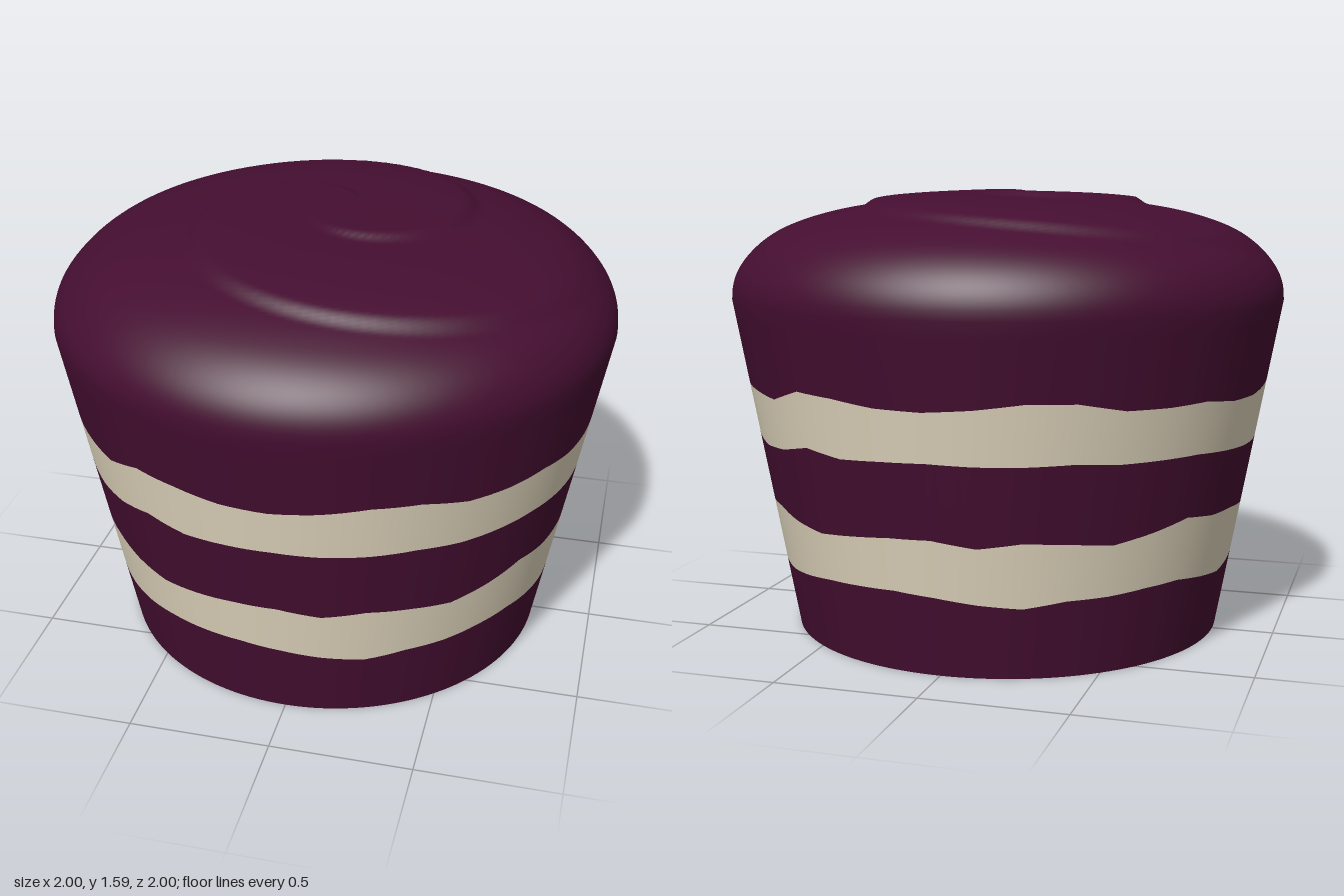
import * as THREE from 'three';

const SEGMENTS = 144;
const SHOULDER = 1.2; // height where the tapered side meets the domed top

// Heights of the wavy layer edges, every 10 degrees over half a turn (they repeat on the back)
const EDGES = {
  lowerBottom: [.275, .292, .27, .255, .252, .263, .278, .285, .29, .28, .262, .25, .272, .275, .285, .288, .27, .255],
  lowerTop: [.475, .45, .47, .48, .485, .46, .445, .46, .475, .48, .458, .478, .47, .455, .48, .51, .492, .49],
  upperBottom: [.71, .715, .735, .72, .705, .715, .745, .727, .735, .74, .735, .735, .74, .73, .73, .73, .72, .712],
  upperTop: [.91, .925, .895, .905, .90, .89, .937, .93, .912, .908, .92, .94, .937, .907, .905, .91, .893, .893],
};

function edge(name) {
  const h = EDGES[name];
  return (a) => {
    const s = (a / Math.PI) * h.length;
    const i = Math.floor(s);
    return THREE.MathUtils.lerp(h[i % h.length], h[(i + 1) % h.length], s - i);
  };
}

// Angle runs from the -x side through the front to the +x side
const ring = (a, r, y) => [-r * Math.cos(a), y, r * Math.sin(a)];
const sidePoint = (a, y) => ring(a, 0.78 + 0.22 * (y / SHOULDER), y);

// Domed top with a shallow two-armed swirl step
function domePoint(a, r) {
  const dome = 0.38 * Math.pow(Math.max(0, 1 - Math.pow(r, 2.25)), 1 / 2.25);
  const phase = (r - 0.45) / 0.5 - a / Math.PI;
  const t = phase - Math.floor(phase);
  const saw = t < 0.92 ? t / 0.92 : (1 - t) / 0.08;
  const fade = THREE.MathUtils.smoothstep(r, 0.05, 0.25) * (1 - THREE.MathUtils.smoothstep(r, 0.8, 0.97));
  return ring(a, r, SHOULDER + dome + 0.02 * (saw - 0.4) * fade);
}

// Closed band of surface: point(angle, row) for rows 0..rows
function wrapSurface(rows, point) {
  const positions = [], index = [];
  for (let j = 0; j <= rows; j++) {
    for (let i = 0; i < SEGMENTS; i++) positions.push(...point((i / SEGMENTS) * Math.PI * 2, j));
  }
  for (let j = 0; j < rows; j++) {
    for (let i = 0; i < SEGMENTS; i++) {
      const k = (i + 1) % SEGMENTS;
      const a = j * SEGMENTS + i, b = j * SEGMENTS + k;
      index.push(a, b, b + SEGMENTS, a, b + SEGMENTS, a + SEGMENTS);
    }
  }
  const g = new THREE.BufferGeometry();
  g.setAttribute('position', new THREE.Float32BufferAttribute(positions, 3));
  g.setIndex(index);
  g.computeVertexNormals();
  return g;
}

export function createModel() {
  const sponge = new THREE.MeshStandardMaterial({ color: 0x450e31 });
  sponge.name = 'dark berry sponge';
  const cream = new THREE.MeshStandardMaterial({ color: 0xe4d9c0 });
  cream.name = 'cream filling';

  const model = new THREE.Group();
  model.name = 'layeredCake';
  const add = (name, geometry, material) => {
    const mesh = new THREE.Mesh(geometry, material);
    mesh.name = name;
    model.add(mesh);
    return mesh;
  };

  // Tapered side layers, stacked between the wavy edges
  const layers = [
    ['bottomSponge', () => 0, edge('lowerBottom'), sponge],
    ['lowerCream', edge('lowerBottom'), edge('lowerTop'), cream],
    ['middleSponge', edge('lowerTop'), edge('upperBottom'), sponge],
    ['upperCream', edge('upperBottom'), edge('upperTop'), cream],
  ];
  for (const [name, low, high, material] of layers) {
    add(name, wrapSurface(2, (a, j) => sidePoint(a, THREE.MathUtils.lerp(low(a), high(a), j / 2))), material);
  }

  // Top sponge: side wall running into the rounded, swirled dome
  const wallRows = 5, domeRows = 90;
  const top = edge('upperTop');
  add('topSponge', wrapSurface(wallRows + domeRows, (a, j) => {
    if (j < wallRows) return sidePoint(a, THREE.MathUtils.lerp(top(a), SHOULDER, j / wallRows));
    const t = (j - wallRows) / domeRows;
    return domePoint(a, Math.max(0.0005, 1 - Math.pow(t, 1.4)));
  }), sponge);

  // Flat underside
  add('base', new THREE.CircleGeometry(0.78, SEGMENTS).rotateX(Math.PI / 2), sponge);

  return model;
}
